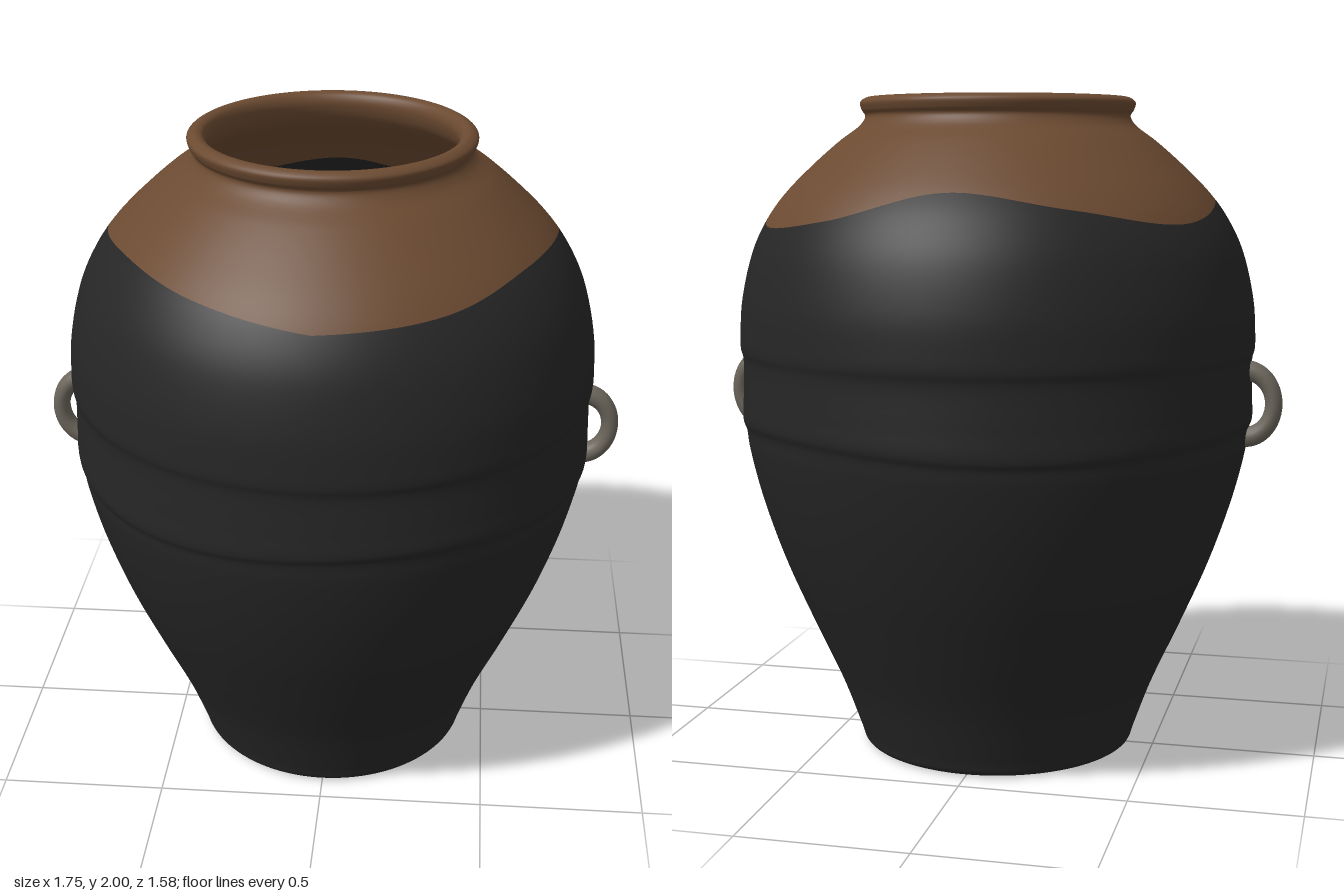
import * as THREE from 'three';

const mat = (name, color, side = THREE.FrontSide) => {
  const m = new THREE.MeshStandardMaterial({ color, side });
  m.name = name;
  return m;
};

// Wall profile (radius, height): underside, outer wall, lip, then inner wall and floor
const outer = [
  [0, 0], [0.2, 0], [0.395, 0], [0.42, 0.01], [0.435, 0.05], [0.49, 0.2], [0.58, 0.4], [0.665, 0.6],
  [0.732, 0.8], [0.768, 0.95], [0.775, 1.0], [0.784, 1.025], [0.783, 1.1], [0.781, 1.22], [0.788, 1.25],
  [0.788, 1.3], [0.78, 1.4], [0.743, 1.55], [0.693, 1.65], [0.64, 1.72], [0.56, 1.8], [0.48, 1.87],
  [0.415, 1.92], [0.402, 1.945], [0.412, 1.962], [0.417, 1.985], [0.395, 2.0],
];
const inner = [
  [0.375, 1.995], [0.365, 1.98], [0.363, 1.96], [0.38, 1.915], [0.45, 1.85], [0.53, 1.78], [0.61, 1.7],
  [0.665, 1.63], [0.71, 1.55], [0.75, 1.4], [0.755, 1.2], [0.74, 1.0], [0.7, 0.8], [0.63, 0.6],
  [0.55, 0.4], [0.46, 0.2], [0.4, 0.07], [0.36, 0.04], [0.18, 0.04], [0, 0.04],
];
const points = [...outer, ...inner].map(([r, y]) => new THREE.Vector3(r, y, 0));
const profile = new THREE.CatmullRomCurve3(points, false, 'centripetal');
const rimT = (outer.length - 1) / (points.length - 1);

// Height of the glaze edge, every 30 degrees from the front towards +x
const edge = [1.655, 1.675, 1.715, 1.7, 1.62, 1.645, 1.725, 1.68, 1.635, 1.69, 1.72, 1.695];
const edgeCurve = new THREE.CatmullRomCurve3(
  edge.map((y, i) => new THREE.Vector3(i, y, 0)).concat(new THREE.Vector3(12, edge[0], 0)), false, 'catmullrom', 0.5);
const edgeHeight = (a) => edgeCurve.getPoint(a / (2 * Math.PI)).y;

// Position along the profile where the wall reaches a height
function tAtHeight(y, lo, hi, rising) {
  for (let k = 0; k < 24; k++) {
    const mid = (lo + hi) / 2;
    if ((profile.getPoint(mid).y < y) === rising) lo = mid;
    else hi = mid;
  }
  return lo;
}
const outerEdge = (a) => tAtHeight(edgeHeight(a), 0, rimT, true);
const innerEdge = (a) => tAtHeight(edgeHeight(a), rimT, 1, false);

// Revolved surface between two limits that vary with the angle
function revolve(from, to, rows, segments = 128) {
  const position = [], normal = [], index = [];
  for (let i = 0; i <= segments; i++) {
    const a = ((i % segments) / segments) * Math.PI * 2;
    const s = Math.sin(a), c = Math.cos(a), t0 = from(a), t1 = to(a);
    for (let j = 0; j <= rows; j++) {
      const t = t0 + ((t1 - t0) * j) / rows;
      const p = profile.getPoint(t), d = profile.getTangent(t);
      // Gentle waver along the lower edge of the raised band
      const wave = t < rimT ? 0.015 * Math.sin(3 * a + 0.6) * Math.exp(-(((p.y - 1.02) / 0.06) ** 2)) : 0;
      position.push(p.x * s, Math.max(0, p.y + wave), p.x * c);
      normal.push(d.y * s, -d.x, d.y * c);
      if (i < segments && j < rows) {
        const k = i * (rows + 1) + j, n = k + rows + 1;
        index.push(k, n, n + 1, k, n + 1, k + 1);
      }
    }
  }
  const g = new THREE.BufferGeometry();
  g.setAttribute('position', new THREE.Float32BufferAttribute(position, 3));
  g.setAttribute('normal', new THREE.Float32BufferAttribute(normal, 3));
  g.setIndex(index);
  return g;
}

export function createModel() {
  const model = new THREE.Group();
  model.name = 'jar';
  const black = mat('blackClay', 0x262626);
  const brown = mat('brownGlaze', 0x6b4a31);
  const grey = mat('greyHandle', 0x6b655b, THREE.DoubleSide);
  const add = (name, geometry, material) => {
    const mesh = new THREE.Mesh(geometry, material);
    mesh.name = name;
    model.add(mesh);
    return mesh;
  };

  // Clay body, glazed shoulder with lip, and dark interior
  add('body', revolve(() => 0, outerEdge, 90), black);
  add('glazedShoulder', revolve(outerEdge, innerEdge, 70), brown);
  add('interior', revolve(innerEdge, () => 1, 50), black);

  // Half-ring handles sunk into the wall
  const arc = Math.PI + 0.2;
  for (const side of [1, -1]) {
    const ring = new THREE.TorusGeometry(0.101, 0.031, 16, 32, arc);
    ring.rotateZ(-arc / 2);
    ring.scale(0.84, 1, 1);
    const handle = add(side > 0 ? 'leftHandle' : 'rightHandle', ring, grey);
    handle.position.set(side * 0.766, 1.088, 0);
    if (side < 0) handle.rotation.y = Math.PI;
  }
  return model;
}
